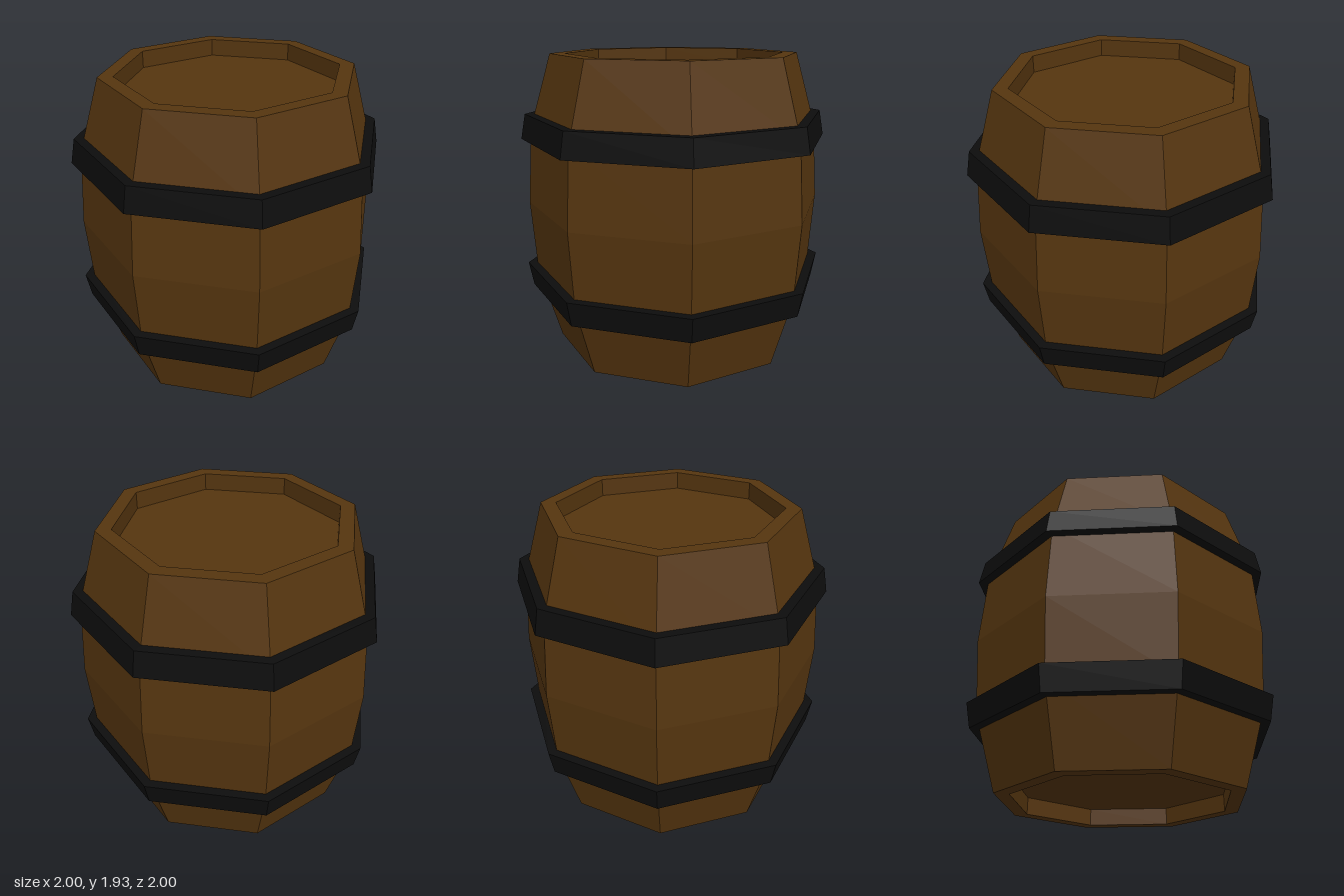
import * as THREE from 'three';

const SIDES = 8;
const HEIGHT = 1.93;

// Faceted solid of revolution; profile points run upward on the outside
function ring(name, profile, material) {
  const points = profile.map(([r, y]) => new THREE.Vector2(r, y));
  const mesh = new THREE.Mesh(new THREE.LatheGeometry(points, SIDES), material);
  mesh.name = name;
  return mesh;
}

export function createModel() {
  const wood = new THREE.MeshStandardMaterial({ color: 0x55350f, flatShading: true });
  const iron = new THREE.MeshStandardMaterial({ color: 0x0d0d0d, flatShading: true });
  const barrel = new THREE.Group();
  barrel.name = 'barrel';

  // Lower half from the recessed base to the belly, then mirrored upward
  const half = [[0, 0.11], [0.7, 0.11], [0.7, 0], [0.795, 0], [0.935, 0.47]];
  const mirrored = half.map(([r, y]) => [r, HEIGHT - y]).reverse();
  barrel.add(ring('body', [...half, [0.97, HEIGHT / 2], ...mirrored], wood));

  // Hoops, wider toward the belly, with inner edges sunk into the staves
  const lower = [[0.88, 0.38], [0.97, 0.38], [1, 0.54], [0.91, 0.54]];
  const upper = lower.map(([r, y]) => [r, HEIGHT - y]).reverse();
  barrel.add(ring('lowerHoop', lower, iron), ring('upperHoop', upper, iron));

  return barrel;
}
